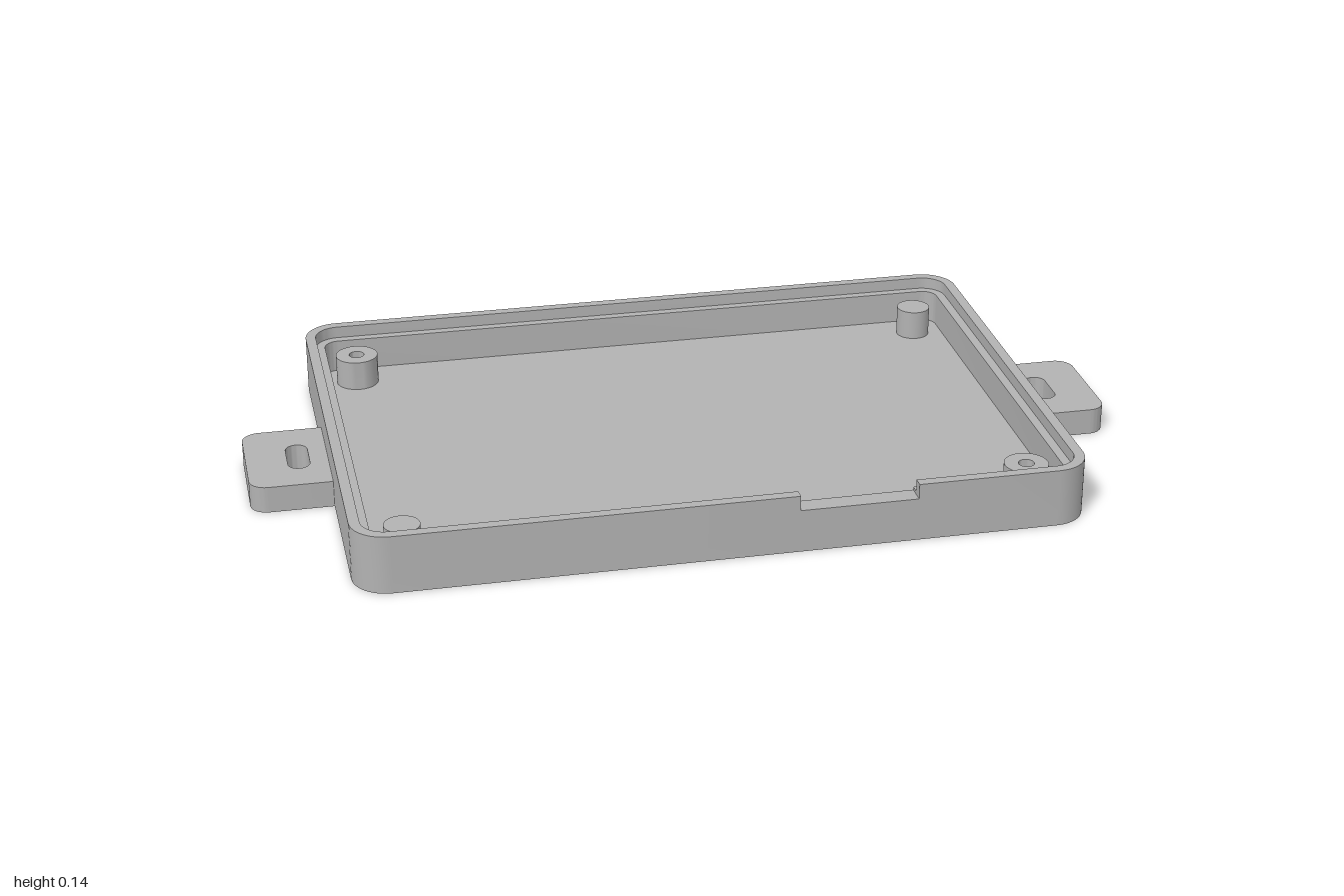
import * as THREE from 'three';
import { toCreasedNormals } from 'three/addons/utils/BufferGeometryUtils.js';

const HX = 0.815, HZ = 0.565, R = 0.08;          // outer footprint and corner radius
const H = 0.135, LEDGE = 0.107, NOTCH = 0.1, FLOOR = 0.03;
const LIP = 0.024, WALL = 0.045;                 // lip and full wall thickness
const NOTCH_X = [0.415, 0.15];
const POST_TOP = 0.1;

// Stations around the tray: point on the outer outline, outward normal, height limit
function stations() {
  const list = [], n = 10;
  for (let k = 0; k < 4; k++) {
    const cx = (k === 0 || k === 3 ? 1 : -1) * (HX - R);
    const cz = (k < 2 ? 1 : -1) * (HZ - R);
    for (let i = 0; i <= n; i++) {
      const a = (k + i / n) * Math.PI / 2, nx = Math.cos(a), nz = Math.sin(a);
      list.push({ x: cx + R * nx, z: cz + R * nz, nx, nz, top: H });
    }
    if (k === 0) { // notch in the front wall
      [[0, H], [0, NOTCH], [1, NOTCH], [1, H]].forEach(([e, top]) =>
        list.push({ x: NOTCH_X[e], z: HZ, nx: 0, nz: 1, top }));
    }
  }
  return list;
}

// Stepped wall section carried around the outline
function wallGeometry(list) {
  const profile = [[0, 0], [0, H], [LIP, H], [LIP, LEDGE], [WALL, LEDGE], [WALL, FLOOR]];
  const rings = list.map(s => profile.map(([o, y]) =>
    new THREE.Vector3(s.x - o * s.nx, Math.min(y, s.top), s.z - o * s.nz)));
  const pos = [], tri = new THREE.Triangle();
  const add = (a, b, c) => {
    if (tri.set(a, b, c).getArea() > 1e-9) [a, b, c].forEach(v => pos.push(v.x, v.y, v.z));
  };
  rings.forEach((p, i) => {
    const q = rings[(i + 1) % rings.length];
    for (let j = 0; j < profile.length - 1; j++) {
      add(p[j], p[j + 1], q[j + 1]);
      add(p[j], q[j + 1], q[j]);
    }
  });
  const g = new THREE.BufferGeometry();
  g.setAttribute('position', new THREE.Float32BufferAttribute(pos, 3));
  return toCreasedNormals(g, 0.6);
}

// Flat plate filling the outline at a given inset
function plateGeometry(list, inset, up) {
  const pts = list.filter(s => s.top === H)
    .map(s => new THREE.Vector2(s.x - inset * s.nx, s.z - inset * s.nz));
  return new THREE.ShapeGeometry(new THREE.Shape(pts)).rotateX(up ? -Math.PI / 2 : Math.PI / 2);
}

// Mounting tab with rounded outer corners and a slot
function tabGeometry() {
  const w = 0.141, r = 0.04, x0 = 0.8, x1 = 1;
  const s = new THREE.Shape();
  s.moveTo(x0, -w);
  s.lineTo(x1 - r, -w);
  s.absarc(x1 - r, -w + r, r, -Math.PI / 2, 0);
  s.absarc(x1 - r, w - r, r, 0, Math.PI / 2);
  s.lineTo(x0, w);
  s.closePath();
  const sx = 0.882, sr = 0.025, sz = 0.035;
  const slot = new THREE.Path();
  slot.absarc(sx, sz, sr, 0, Math.PI);
  slot.absarc(sx, -sz, sr, Math.PI, Math.PI * 2);
  slot.closePath();
  s.holes.push(slot);
  const g = new THREE.ExtrudeGeometry(s, { depth: 0.062, bevelEnabled: false, curveSegments: 10 });
  return toCreasedNormals(g.rotateX(-Math.PI / 2), 0.6);
}

// Hollow screw post
function postGeometry() {
  const pts = [[0.05, FLOOR], [0.05, POST_TOP], [0.018, POST_TOP], [0.018, FLOOR]]
    .map(([x, y]) => new THREE.Vector2(x, y));
  return toCreasedNormals(new THREE.LatheGeometry(pts, 32), 0.6);
}

export function createModel() {
  const group = new THREE.Group();
  const grey = new THREE.MeshStandardMaterial({ color: 0xb2b2b2 });
  grey.name = 'grey plastic';
  const add = (name, geometry, x = 0, y = 0, z = 0) => {
    const m = new THREE.Mesh(geometry, grey);
    m.name = name;
    m.position.set(x, y, z);
    group.add(m);
    return m;
  };

  const list = stations();
  add('walls', wallGeometry(list));
  add('floor', plateGeometry(list, WALL, true), 0, FLOOR, 0);
  add('underside', plateGeometry(list, 0, false));

  // Side tabs
  const tab = tabGeometry();
  add('leftTab', tab);
  add('rightTab', tab).rotation.y = Math.PI;

  // Screw posts and plain pegs on opposite corners
  const post = postGeometry();
  const pegHeight = POST_TOP - FLOOR;
  const peg = new THREE.CylinderGeometry(0.04, 0.04, pegHeight, 32);
  for (const s of [1, -1]) {
    add('screwPost', post, s * 0.698, 0, s * 0.447);
    add('peg', peg, s * 0.698, FLOOR + pegHeight / 2, -s * 0.447);
  }
  return group;
}
